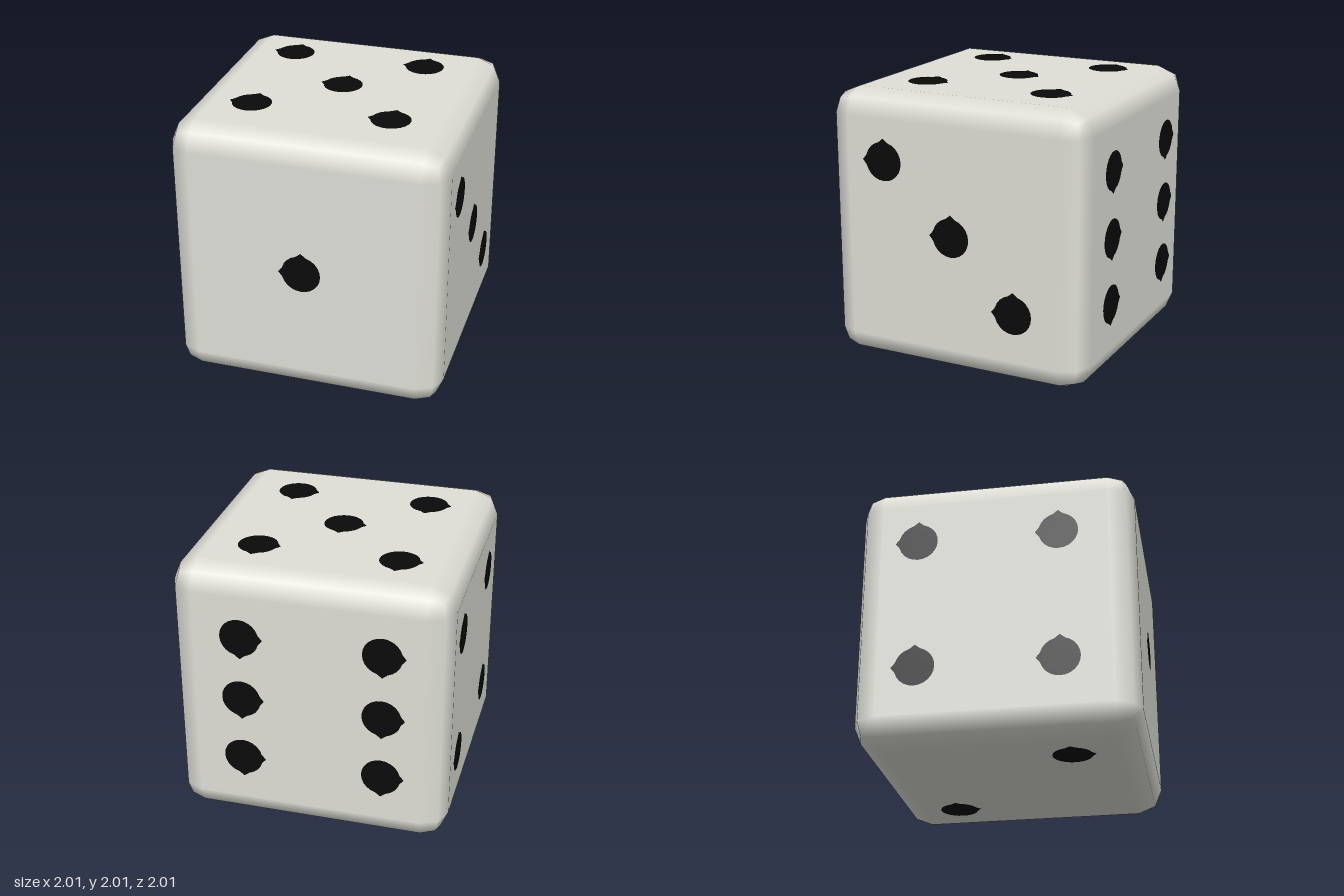
import * as THREE from 'three';
import { RoundedBoxGeometry } from 'three/addons/geometries/RoundedBoxGeometry.js';

const H = Math.PI / 2;

// Round pip outline with a small nick at its top and left
function pipGeometry() {
  const points = [];
  const n = 24;
  for (let i = 0; i < n; i++) {
    const a = (i / n) * Math.PI * 2;
    const r = i === 6 || i === 12 ? 0.167 : 0.142;
    points.push(new THREE.Vector2(Math.cos(a) * r, Math.sin(a) * r));
  }
  return new THREE.ShapeGeometry(new THREE.Shape(points));
}

// Each face: rotation, roll of its pips, and pip centres as seen from outside
const FACES = [
  { name: 'frontPips', rot: [0, 0, 0], roll: 0, pips: [[-0.01, -0.01]] },
  { name: 'rightPips', rot: [0, H, 0], roll: 0, pips: [[-0.53, 0.515], [0, 0.025], [0.485, -0.465]] },
  { name: 'backPips', rot: [0, 2 * H, 0], roll: Math.PI,
    pips: [-0.48, 0.535].flatMap((u) => [0.51, 0.02, -0.47].map((v) => [u, v])) },
  { name: 'leftPips', rot: [0, -H, 0], roll: 0,
    pips: [-0.545, 0.465].flatMap((u) => [0.51, -0.468].map((v) => [u, v])) },
  { name: 'topPips', rot: [-H, 0, 0], roll: 0,
    pips: [[-0.535, 0.52], [0.48, 0.52], [-0.01, 0.03], [-0.535, -0.46], [0.48, -0.46]] },
  { name: 'bottomPips', rot: [H, 0, 0], roll: 0, pips: [[0.49, -0.53], [-0.53, 0.48]] },
];

export function createModel() {
  const ivory = new THREE.MeshStandardMaterial({ color: 0xe0e0d8 });
  ivory.name = 'ivory';
  const black = new THREE.MeshStandardMaterial({ color: 0x0a0a0a });
  black.name = 'black';

  const model = new THREE.Group();
  model.name = 'die';

  // Cube with two-step rounded edges
  const body = new THREE.Mesh(new RoundedBoxGeometry(2, 2, 2, 1, 0.18), ivory);
  body.name = 'body';
  body.position.y = 1;
  model.add(body);

  // Painted pips just above each face
  const geometry = pipGeometry();
  for (const { name, rot, roll, pips } of FACES) {
    const face = new THREE.Group();
    face.name = name;
    face.position.y = 1;
    face.rotation.set(...rot);
    for (const [u, v] of pips) {
      const pip = new THREE.Mesh(geometry, black);
      pip.name = 'pip';
      pip.position.set(u, v, 1.003);
      pip.rotation.z = roll;
      face.add(pip);
    }
    model.add(face);
  }
  return model;
}
